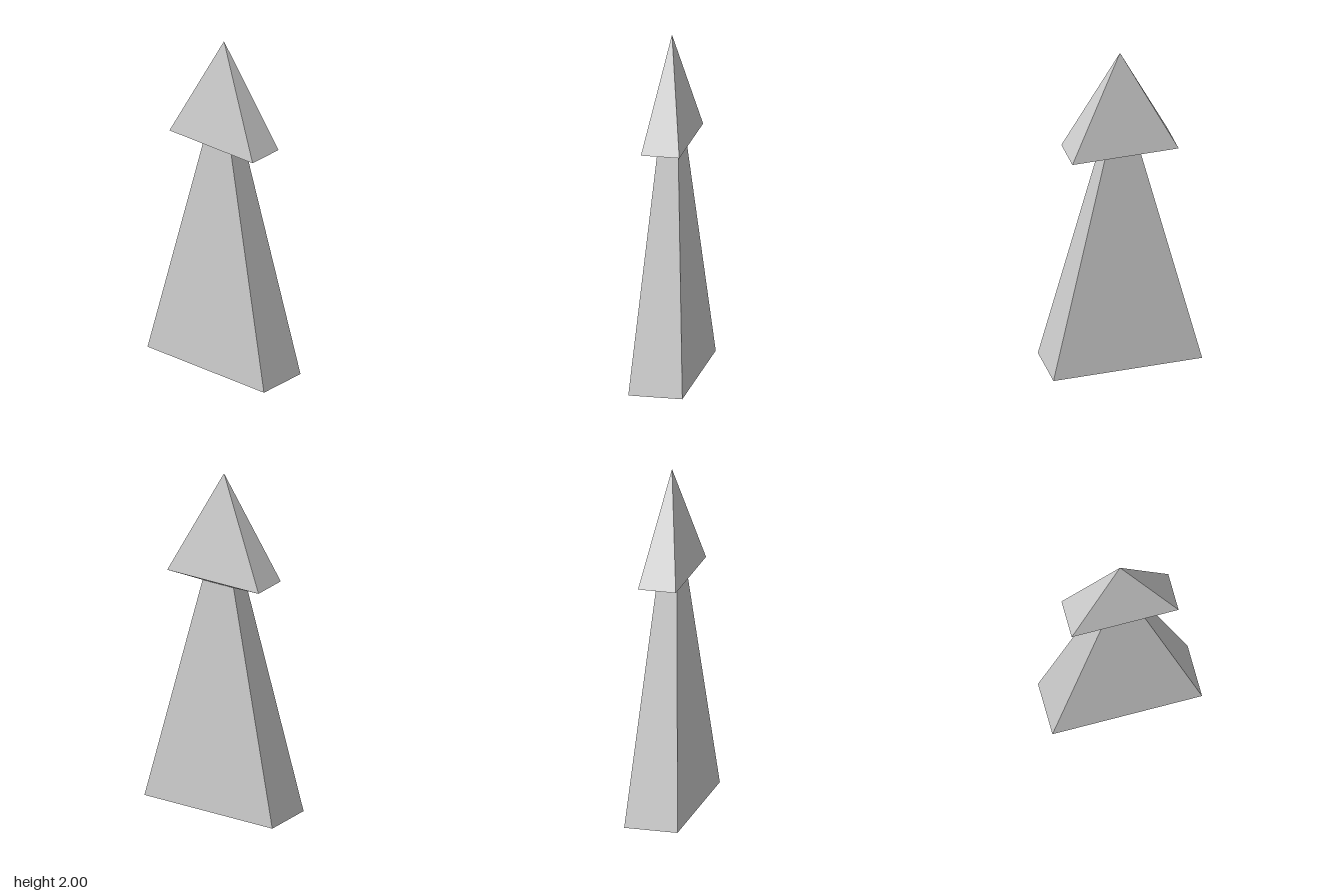
import * as THREE from 'three';

const material = new THREE.MeshStandardMaterial({ color: 0xcccccc, flatShading: true });

// Rectangular rings from the ground up: height, half width, half depth
const ground = { y: 0, x: 0.434, z: 0.155 };
const neck = { y: 1.35, x: 0.105, z: 0.059 };
const eave = { y: 1.38, x: 0.31, z: 0.11 };
const apex = { y: 2, x: 0, z: 0 };

// Four-sided open shell running from one rectangular ring to another
function taperedShell(name, bottom, top) {
  const topRadius = top.x === 0 ? 0 : Math.SQRT2;
  const geometry = new THREE.CylinderGeometry(topRadius, Math.SQRT2, 1, 4, 1, true);
  geometry.rotateY(Math.PI / 4);
  const p = geometry.attributes.position;
  for (let i = 0; i < p.count; i++) {
    const ring = p.getY(i) > 0 ? top : bottom;
    p.setXYZ(i, p.getX(i) * ring.x, ring.y, p.getZ(i) * ring.z);
  }
  geometry.computeVertexNormals();
  const mesh = new THREE.Mesh(geometry, material);
  mesh.name = name;
  return mesh;
}

export function createModel() {
  const model = new THREE.Group();
  model.name = 'taperedTower';

  // Tapering shaft, flared underside of the cap and pyramid cap
  model.add(
    taperedShell('shaft', ground, neck),
    taperedShell('capUnderside', neck, eave),
    taperedShell('cap', eave, apex)
  );

  // Flat base closing the shaft, facing down
  const base = new THREE.Mesh(
    new THREE.PlaneGeometry(ground.x * 2, ground.z * 2).rotateX(Math.PI / 2),
    material
  );
  base.name = 'base';
  model.add(base);

  return model;
}
